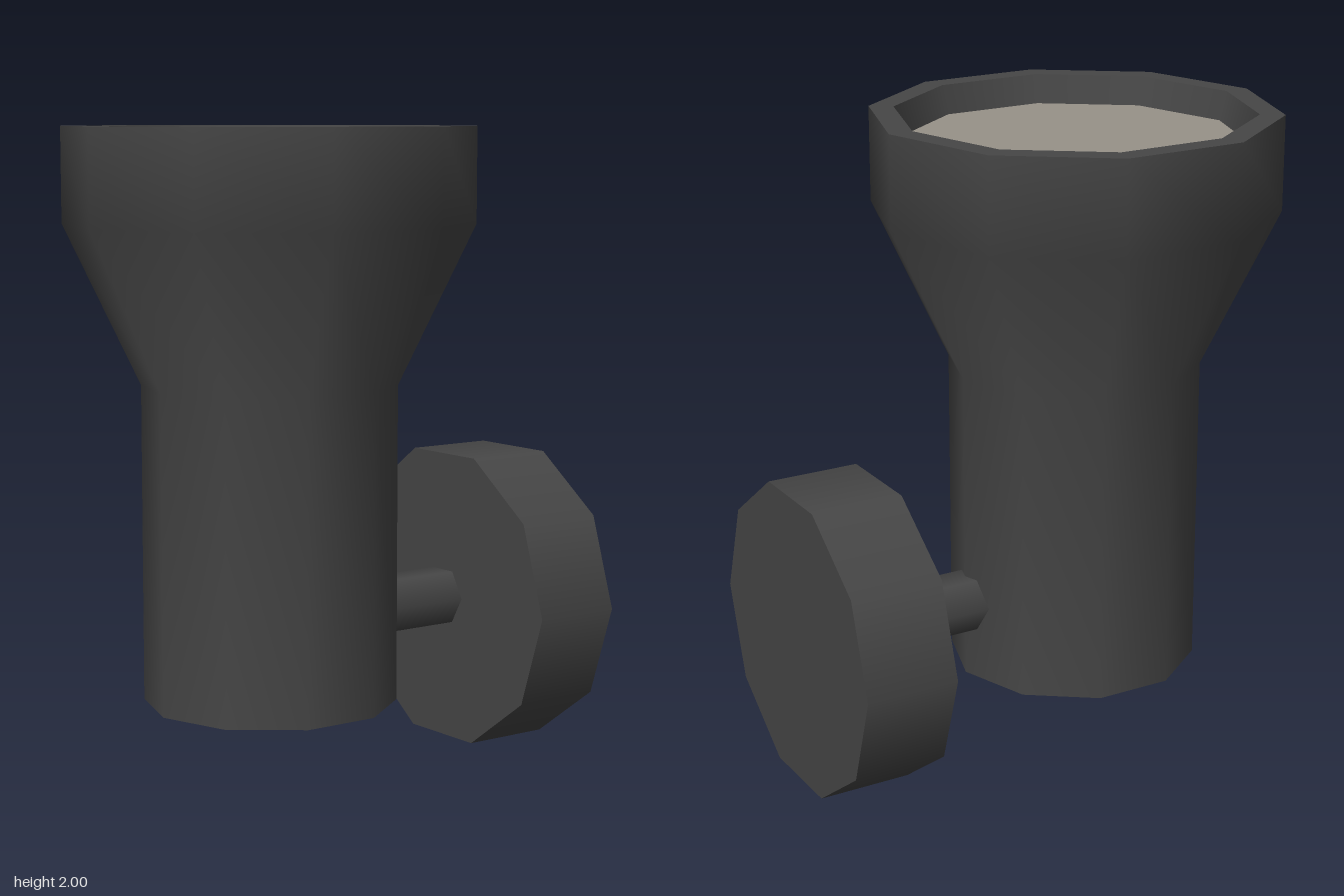
import * as THREE from 'three';

export function createModel() {
  const group = new THREE.Group();
  const housing = new THREE.MeshStandardMaterial({ color: 0x464646 });
  housing.name = 'charcoal housing';
  const glass = new THREE.MeshStandardMaterial({ color: 0x989289 });
  glass.name = 'warm grey lens';

  const SIDES = 10;
  const lampZ = 0.176;

  // One smooth band of the lamp; separate bands meet in a sharp edge
  function band(name, profile, material = housing) {
    const points = profile.map(([r, y]) => new THREE.Vector2(r, y));
    const mesh = new THREE.Mesh(new THREE.LatheGeometry(points, SIDES), material);
    mesh.name = name;
    mesh.position.z = lampZ;
    group.add(mesh);
  }

  band('lampBase', [[0, 0.22], [0.395, 0.22]]);
  band('lampBody', [[0.395, 0.22], [0.395, 1.21], [0.632, 1.705], [0.632, 2]]);
  band('lampRim', [[0.632, 2], [0.555, 2]]);
  band('rimInnerWall', [[0.555, 2], [0.53, 1.91]]);
  band('lens', [[0.53, 1.91], [0, 1.91]], glass);

  // Horizontal cylinder along z, with corners on its left and right
  function horizontal(name, radius, sides, zBack, zFront) {
    const geometry = new THREE.CylinderGeometry(radius, radius, zFront - zBack, sides, 1, false, Math.PI / 2);
    geometry.rotateX(Math.PI / 2);
    const mesh = new THREE.Mesh(geometry, housing);
    mesh.name = name;
    mesh.position.set(0, 0.47, (zBack + zFront) / 2);
    group.add(mesh);
  }

  horizontal('wallMount', 0.494, SIDES, -0.81, -0.515);
  horizontal('mountArm', 0.097, 6, -0.53, -0.1);

  return group;
}
